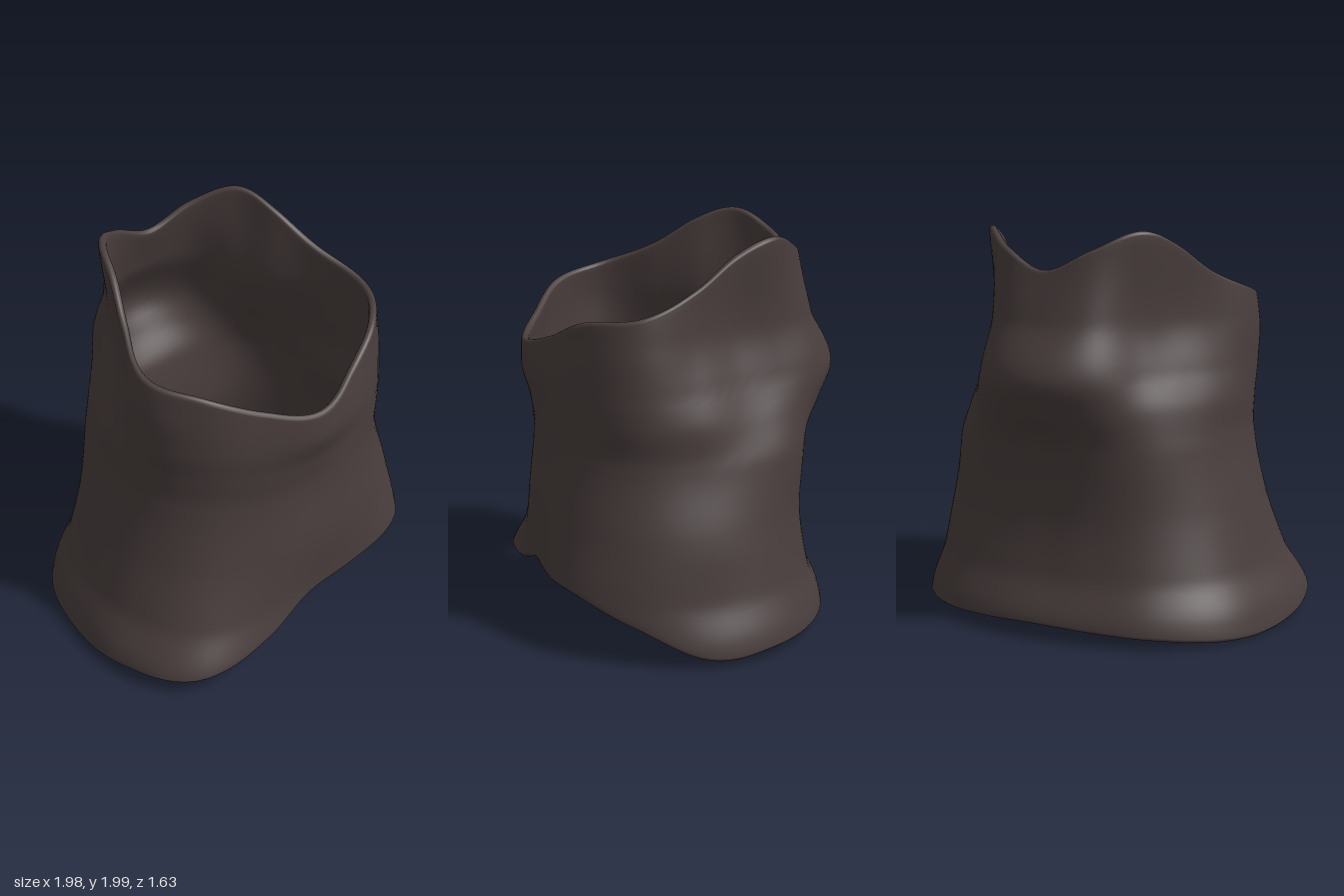
import * as THREE from 'three';

const AROUND = 128, UP = 56, THICK = 0.04, RIM = 6;

// Radii every 22.5 degrees, from the front (+z) round by +x, at each height
const sections = [
  { y: 0.1, r: [0.75, 0.78, 0.94, 0.97, 0.98, 0.94, 0.87, 0.78, 0.75, 0.78, 0.87, 0.94, 0.96, 1.04, 1.07, 0.87] },
  { y: 0.3, r: [0.74, 0.78, 0.93, 0.95, 0.91, 0.87, 0.80, 0.70, 0.66, 0.70, 0.79, 0.85, 0.87, 0.93, 0.95, 0.82] },
  { y: 0.6, r: [0.75, 0.78, 0.86, 0.89, 0.86, 0.81, 0.75, 0.65, 0.61, 0.65, 0.73, 0.77, 0.79, 0.83, 0.84, 0.78] },
  { y: 0.95, r: [0.72, 0.75, 0.79, 0.80, 0.76, 0.74, 0.75, 0.68, 0.64, 0.67, 0.71, 0.71, 0.71, 0.76, 0.77, 0.74] },
  { y: 1.15, r: [0.74, 0.75, 0.79, 0.81, 0.74, 0.67, 0.70, 0.75, 0.76, 0.74, 0.69, 0.67, 0.70, 0.76, 0.77, 0.75] },
  { y: 1.3, r: [0.78, 0.76, 0.79, 0.80, 0.69, 0.61, 0.64, 0.77, 0.82, 0.77, 0.64, 0.61, 0.66, 0.77, 0.78, 0.76] },
  { y: 1.55, r: [0.77, 0.73, 0.77, 0.77, 0.62, 0.54, 0.58, 0.69, 0.70, 0.69, 0.58, 0.54, 0.61, 0.77, 0.77, 0.74] },
  { y: 2.0, r: [0.76, 0.72, 0.73, 0.69, 0.61, 0.57, 0.61, 0.62, 0.58, 0.62, 0.61, 0.57, 0.61, 0.69, 0.73, 0.72] },
];
// Heights of the collar edge and of the hem at the same angles
const collar = [1.45, 1.52, 1.64, 1.68, 1.79, 1.93, 2.0, 1.91, 1.81, 1.91, 2.0, 1.93, 1.79, 1.68, 1.63, 1.52];
const hem = [0.26, 0.29, 0.33, 0.21, 0.05, 0.05, 0.06, 0.07, 0.08, 0.07, 0.05, 0.02, 0.01, 0.06, 0.09, 0.15];

// Smooth curve through four values
function spline(a, b, c, d, t) {
  return b + 0.5 * t * (c - a + t * (2 * a - 5 * b + 4 * c - d + t * (3 * (b - c) + d - a)));
}

// Smooth lookup in a closed ring of values, u in 0..1
function ring(values, u) {
  const n = values.length, f = u * n, i = Math.floor(f);
  const at = (k) => values[(i + k + n) % n];
  return spline(at(-1), at(0), at(1), at(2), f - i);
}

// Outer radius at any angle and height
function radius(u, y) {
  const last = sections.length - 1;
  let i = 0;
  while (i < last - 1 && y > sections[i + 1].y) i++;
  const at = (k) => ring(sections[Math.min(last, Math.max(0, k))].r, u);
  const t = (y - sections[i].y) / (sections[i + 1].y - sections[i].y);
  if (t < 0) return at(0) + t * 0.5 * (at(1) - at(0));
  return spline(at(i - 1), at(i), at(i + 1), at(i + 2), Math.min(t, 1));
}

// One closed vertical loop of cloth: outside up, over the collar, inside down, round the hem
function clothLoop(u) {
  const h = THICK / 2, low = ring(hem, u) + h, high = ring(collar, u) - h;
  const loop = [];
  const add = (y, inset, rise) => loop.push([radius(u, y) - inset, y + rise]);
  const level = (j) => low + (high - low) * j / UP;
  for (let j = 0; j <= UP; j++) add(level(j), 0, 0);
  for (let k = 1; k < RIM; k++) {
    const a = Math.PI * k / RIM;
    add(high, h - h * Math.cos(a), h * Math.sin(a));
  }
  for (let j = UP; j >= 0; j--) add(level(j), THICK, 0);
  for (let k = 1; k < RIM; k++) {
    const a = Math.PI * k / RIM;
    add(low, h + h * Math.cos(a), -h * Math.sin(a));
  }
  return loop;
}

function clothGeometry() {
  const positions = [], index = [];
  let count = 0;
  for (let i = 0; i < AROUND; i++) {
    const u = i / AROUND, a = u * Math.PI * 2;
    const loop = clothLoop(u);
    count = loop.length;
    for (const [r, y] of loop) positions.push(r * Math.sin(a), y, r * Math.cos(a));
  }
  for (let i = 0; i < AROUND; i++) {
    for (let j = 0; j < count; j++) {
      const k = (j + 1) % count, n = (i + 1) % AROUND;
      const a = i * count + j, b = n * count + j, c = n * count + k, d = i * count + k;
      index.push(a, b, c, a, c, d);
    }
  }
  const geometry = new THREE.BufferGeometry();
  geometry.setAttribute('position', new THREE.Float32BufferAttribute(positions, 3));
  geometry.setIndex(index);
  geometry.computeVertexNormals();
  return geometry;
}

export function createModel() {
  const group = new THREE.Group();
  group.name = 'garment';
  const cloth = new THREE.MeshStandardMaterial({ color: 0x483d3c });
  cloth.name = 'dark brown cloth';
  const body = new THREE.Mesh(clothGeometry(), cloth);
  body.name = 'clothBody';
  group.add(body);
  return group;
}
